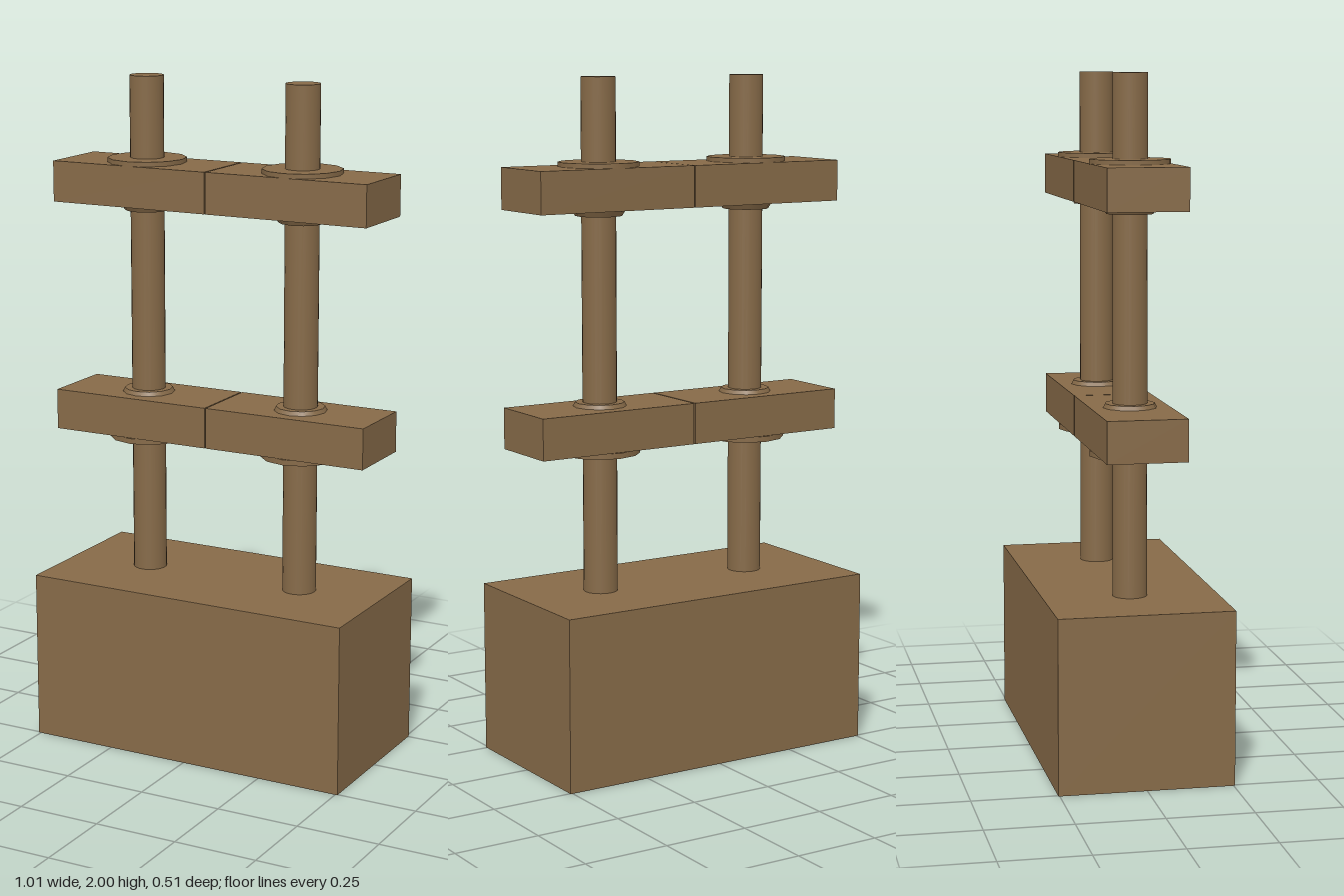
import * as THREE from 'three';

export function createModel() {
  const model = new THREE.Group();
  const brown = new THREE.MeshStandardMaterial({ color: 0x866a48 });
  brown.name = 'brown';
  const add = (name, geometry, x, y, z = 0) => {
    const mesh = new THREE.Mesh(geometry, brown);
    mesh.name = name;
    mesh.position.set(x, y, z);
    model.add(mesh);
  };

  // Solid base block
  add('base', new THREE.BoxGeometry(1.014, 0.507, 0.508), 0, 0.2535);

  // Crossbars in two halves meeting at a narrow seam
  const half = new THREE.BoxGeometry(0.505, 0.121, 0.23);
  // Thin round washers: wide on the outer faces, narrow on the inner faces
  const wide = new THREE.CylinderGeometry(0.117, 0.117, 0.016, 12);
  const narrowUp = new THREE.CylinderGeometry(0.072, 0.079, 0.014, 12);
  const narrowDown = new THREE.CylinderGeometry(0.079, 0.068, 0.02, 12);

  for (const side of [-1, 1]) {
    const x = side * 0.254;
    add('post', new THREE.CylinderGeometry(0.05, 0.05, 1.51, 24), x, 1.245);
    add('lowerCrossbarHalf', half, side * 0.2545, 0.995);
    add('upperCrossbarHalf', half, side * 0.2545, 1.686);
    add('lowerWideWasher', wide, x, 0.925);
    add('lowerNarrowWasher', narrowUp, x, 1.0605);
    add('upperNarrowWasher', narrowDown, x, 1.616);
    add('upperWideWasher', wide, x, 1.752);
  }
  return model;
}
